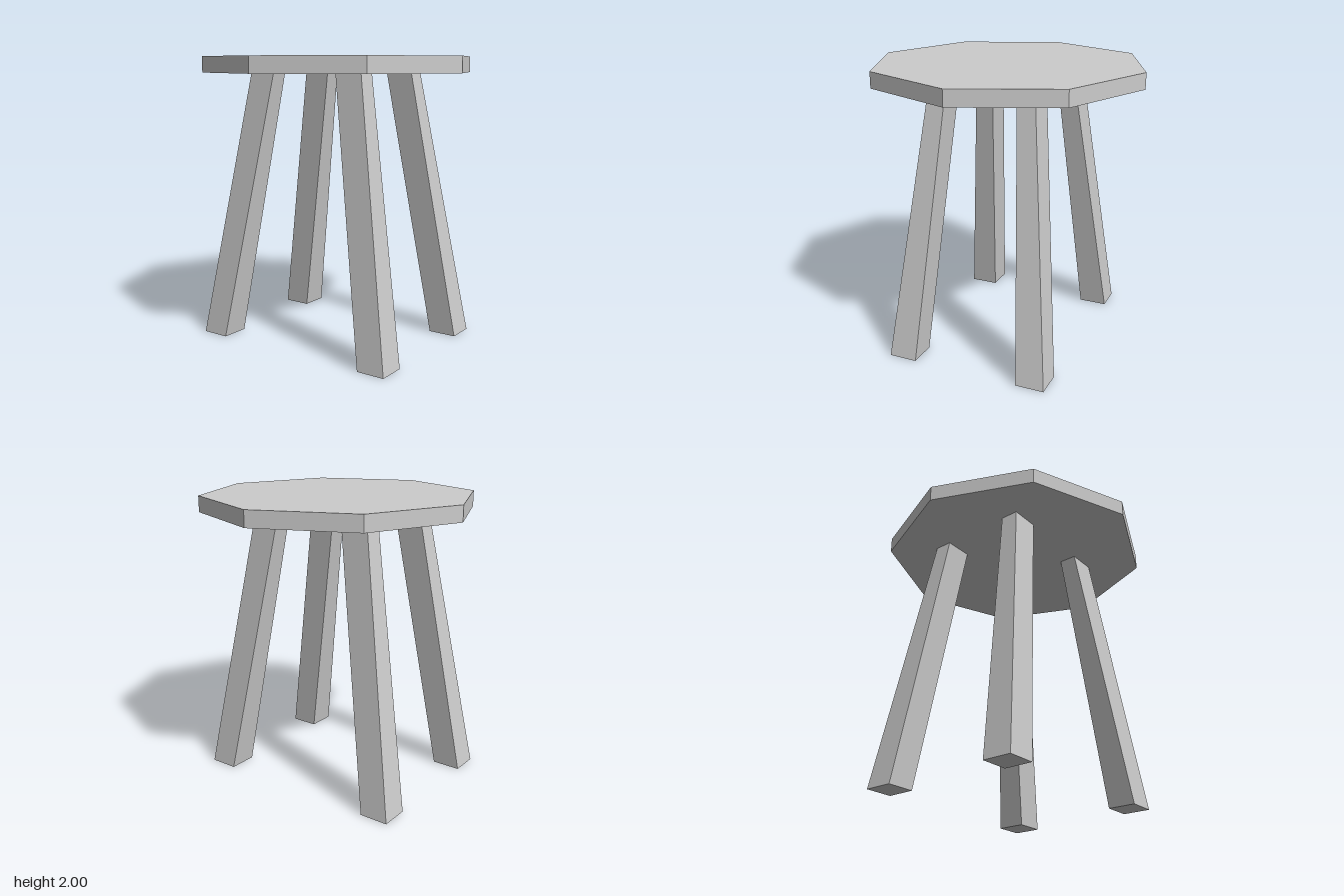
import * as THREE from 'three';

const SEAT_BOTTOM = 1.89;
const material = new THREE.MeshStandardMaterial({ color: 0xcccccc, flatShading: true });

// Splayed, tapered leg: a unit box whose ends are moved to two rectangles.
// Each end is { x, z, w, d }: centre and size.
function makeLeg(name, foot, top) {
  const geometry = new THREE.BoxGeometry(1, 1, 1);
  const p = geometry.attributes.position;
  for (let i = 0; i < p.count; i++) {
    const isTop = p.getY(i) > 0;
    const end = isTop ? top : foot;
    p.setXYZ(i, end.x + p.getX(i) * end.w, isTop ? SEAT_BOTTOM : 0, end.z + p.getZ(i) * end.d);
  }
  geometry.computeVertexNormals();
  const leg = new THREE.Mesh(geometry, material);
  leg.name = name;
  return leg;
}

export function createModel() {
  const stool = new THREE.Group();
  stool.name = 'stool';

  // Octagonal seat with corners on the axes
  const thickness = 2 - SEAT_BOTTOM;
  const seat = new THREE.Mesh(new THREE.CylinderGeometry(0.95, 0.95, thickness, 8), material);
  seat.position.y = SEAT_BOTTOM + thickness / 2;
  seat.name = 'seat';
  stool.add(seat);

  // Four legs, set slightly right and back of the seat centre
  const offsetX = -0.005, offsetZ = -0.025;
  for (const sz of [1, -1]) {
    for (const sx of [1, -1]) {
      const name = (sz > 0 ? 'front' : 'back') + (sx > 0 ? 'Left' : 'Right') + 'Leg';
      const foot = { x: offsetX + sx * 0.48, z: offsetZ + sz * 0.675, w: 0.2, d: 0.2 };
      const top = { x: offsetX + sx * 0.3125, z: offsetZ + sz * 0.36, w: 0.125, d: 0.2 };
      stool.add(makeLeg(name, foot, top));
    }
  }
  return stool;
}
